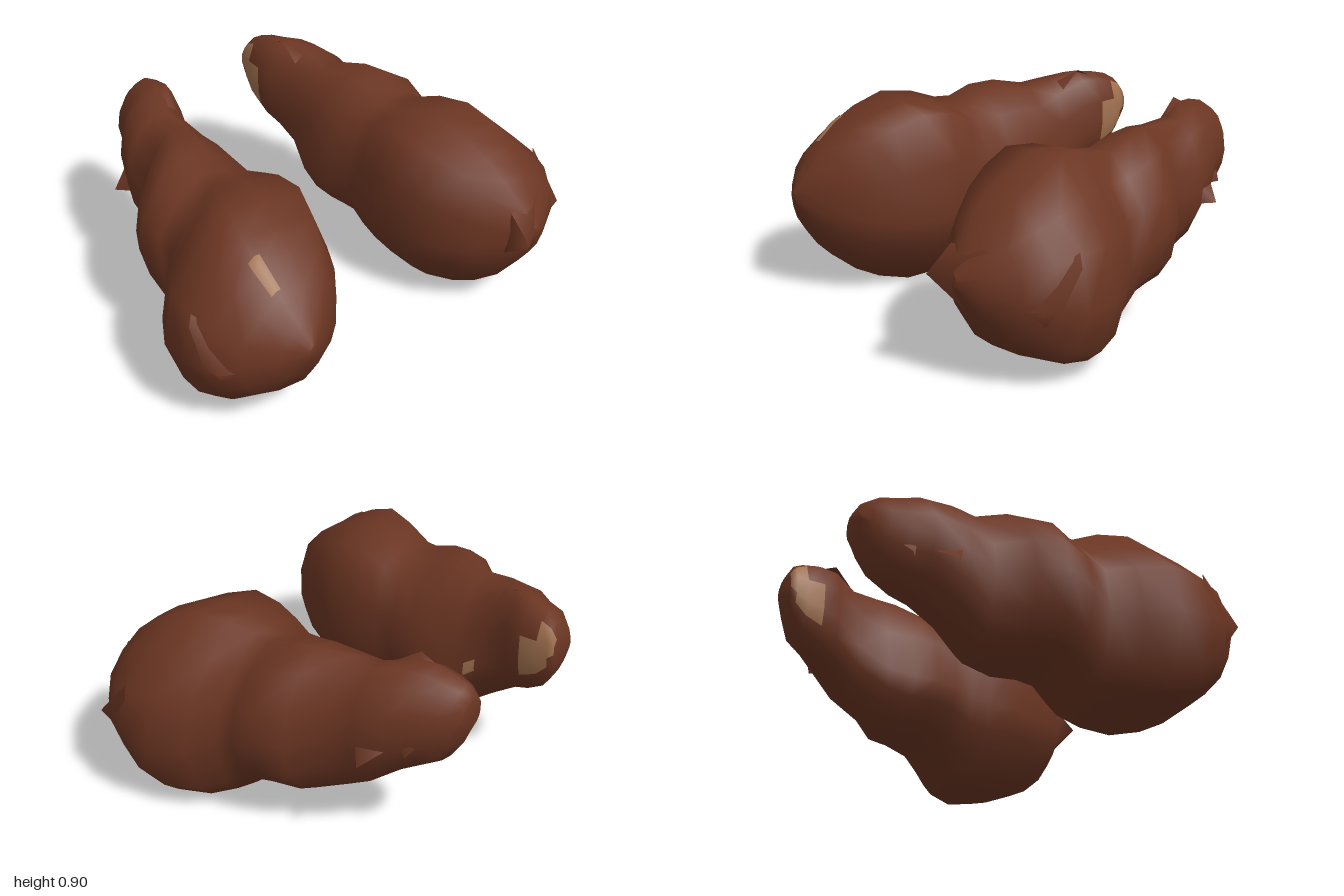
import * as THREE from 'three';

const brown = new THREE.MeshStandardMaterial({ color: 0x6c3623, side: THREE.DoubleSide });
brown.name = 'brown skin';
const tan = new THREE.MeshStandardMaterial({ color: 0xa0714f, side: THREE.DoubleSide });
tan.name = 'tan patch';

// Body sections from tail to nose: z, inner x, outer x, bottom y, top y
const SECTIONS = [
  [-0.87, 0.265, 0.40, 0.64, 0.78],
  [-0.84, 0.26, 0.44, 0.56, 0.83],
  [-0.79, 0.25, 0.50, 0.48, 0.86],
  [-0.71, 0.245, 0.53, 0.43, 0.88],
  [-0.63, 0.255, 0.59, 0.39, 0.89],
  [-0.50, 0.28, 0.64, 0.29, 0.86],
  [-0.37, 0.24, 0.63, 0.20, 0.85],
  [-0.25, 0.21, 0.76, 0.16, 0.87],
  [-0.13, 0.20, 0.82, 0.17, 0.86],
  [-0.02, 0.235, 0.82, 0.15, 0.82],
  [0.07, 0.235, 0.82, 0.05, 0.83],
  [0.17, 0.23, 0.91, 0.01, 0.865],
  [0.31, 0.22, 0.99, 0.00, 0.88],
  [0.45, 0.26, 1.00, 0.035, 0.83],
  [0.56, 0.31, 0.965, 0.09, 0.775],
  [0.67, 0.39, 0.88, 0.18, 0.69],
  [0.76, 0.51, 0.74, 0.31, 0.58],
  [0.81, 0.60, 0.64, 0.43, 0.50],
];

// Cross-section outlines in a unit box, from the outer side over the top
const BELLY = [[1, -0.18], [0.87, 0.36], [0.5, 0.69], [0.13, 1], [-0.33, 0.96], [-0.8, 0.9], [-1, 0.4],
  [-1, -0.18], [-0.9, -0.45], [-0.62, -0.78], [-0.36, -1], [0.2, -0.93], [0.59, -0.86], [0.8, -0.7]];
const MIDDLE = [[1, -0.05], [0.9, 0.38], [0.6, 0.78], [0.18, 1], [-0.22, 0.94], [-0.62, 0.7], [-0.88, 0.25],
  [-1, -0.35], [-0.88, -0.6], [-0.62, -0.82], [-0.32, -1], [0.2, -0.96], [0.6, -0.8], [0.87, -0.5]];
const ENDS = [[1, -0.05], [0.9, 0.35], [0.6, 0.7], [0.15, 0.9], [-0.35, 1], [-0.75, 0.85], [-1, 0.4],
  [-1, -0.15], [-0.9, -0.5], [-0.65, -0.8], [-0.3, -1], [0.2, -0.95], [0.65, -0.75], [0.9, -0.4]];
// Which outline applies at which depth
const STOPS = [[-0.87, ENDS], [-0.65, ENDS], [-0.4, MIDDLE], [-0.13, MIDDLE], [0.1, BELLY], [0.4, BELLY], [0.81, ENDS]];
const N = BELLY.length;
const mix = THREE.MathUtils.lerp;

// Neighbouring rows of a table at depth z, and the fraction between them
function bracket(table, z) {
  let i = 0;
  while (i < table.length - 2 && table[i + 1][0] < z) i++;
  const p = table[i], q = table[i + 1];
  return [p, q, (z - p[0]) / (q[0] - p[0])];
}

// Point on the skin at depth z and outline position t (in outline steps)
function skin(z, t, scale = 1) {
  const [p, q, f] = bracket(SECTIONS, z);
  const [, x0, x1, y0, y1] = p.map((n, k) => mix(n, q[k], f));
  const [a, b, w] = bracket(STOPS, z);
  const j = Math.floor(t);
  const [u, v] = [0, 1].map((k) => {
    const at = (n) => mix(a[1][n % N][k], b[1][n % N][k], w);
    return mix(at(j), at(j + 1), t - j) * scale;
  });
  return [(x0 + x1) / 2 + u * (x1 - x0) / 2, (y0 + y1) / 2 + v * (y1 - y0) / 2, z];
}

function build(points, index, side) {
  const g = new THREE.BufferGeometry();
  const pos = points.flatMap(([x, y, z]) => [x * side, y, z]);
  g.setAttribute('position', new THREE.Float32BufferAttribute(pos, 3));
  if (side < 0) for (let i = 0; i < index.length; i += 3) [index[i], index[i + 1]] = [index[i + 1], index[i]];
  g.setIndex(index);
  g.computeVertexNormals();
  return g;
}

function named(name, geometry, material) {
  const m = new THREE.Mesh(geometry, material);
  m.name = name;
  return m;
}

// Closed lumpy body, with a pale crescent on the inner tail
const CRESCENT = [[5, 6], [5, 6, 7], [6, 7]];
function bodyGeometry(side) {
  const points = [], skinFaces = [], paleFaces = [];
  for (const [z] of SECTIONS) {
    for (let j = 0; j < N; j++) points.push(skin(z, j));
  }
  for (let i = 0; i < SECTIONS.length - 1; i++) {
    for (let j = 0; j < N; j++) {
      const a = i * N + j, b = i * N + (j + 1) % N;
      const faces = CRESCENT[i]?.includes(j) ? paleFaces : skinFaces;
      faces.push(a, b, a + N, b, b + N, a + N);
    }
  }
  // End caps
  const last = (SECTIONS.length - 1) * N;
  for (let j = 1; j < N - 1; j++) skinFaces.push(0, j + 1, j, last, last + j, last + j + 1);
  const g = build(points, [...skinFaces, ...paleFaces], side);
  g.addGroup(0, skinFaces.length, 0);
  g.addGroup(skinFaces.length, paleFaces.length, 1);
  return g;
}

// Small painted patch lying on the skin, as a grid of depths and outline positions
function patch(zs, ts, side) {
  const points = [], index = [], n = ts.length;
  for (const z of zs) for (const t of ts) points.push(skin(z, t, 1.02));
  for (let i = 0; i < zs.length - 1; i++) {
    for (let j = 0; j < n - 1; j++) {
      const a = i * n + j;
      index.push(a, a + 1, a + n, a + 1, a + n + 1, a + n);
    }
  }
  return build(points, index, side);
}

// Pointed flap: a tip joined to a strip of base points
function flap(tip, base, side) {
  const index = [];
  for (let i = 1; i < base.length; i++) index.push(0, i, i + 1);
  return build([tip, ...base], index, side);
}

function createPod(side) {
  const pod = new THREE.Group();
  pod.name = side > 0 ? 'leftPod' : 'rightPod';
  pod.add(named('body', bodyGeometry(side), [brown, tan]));
  // Folded cheek flap on the outer front
  pod.add(named('cheekFlap', flap([0.95, 0.4, 0.64],
    [[0.7, 0.3, 0.68], [0.89, 0.27, 0.57], [0.985, 0.38, 0.45], [0.95, 0.6, 0.46], [0.7, 0.34, 0.69]], side), brown));
  // Spiky folds on the outer tail
  pod.add(named('tailSpikeFront', flap([0.67, 0.5, -0.57],
    [[0.56, 0.56, -0.64], [0.6, 0.6, -0.5], [0.58, 0.48, -0.52]], side), brown));
  pod.add(named('tailSpikeRear', flap([0.545, 0.54, -0.71],
    [[0.47, 0.62, -0.76], [0.52, 0.62, -0.66], [0.49, 0.52, -0.66]], side), brown));
  // Low ridge on top of the tail
  pod.add(named('tailRidge', flap([0.33, 0.9, -0.62],
    [[0.32, 0.85, -0.72], [0.42, 0.85, -0.66], [0.4, 0.83, -0.5], [0.34, 0.78, -0.5]], side), brown));
  return pod;
}

export function createModel() {
  const model = new THREE.Group();
  model.name = 'podPair';
  const left = createPod(1), right = createPod(-1);
  // Beaked nose tip on the left pod only
  left.add(named('noseTip', flap([0.52, 0.48, 0.87],
    [[0.52, 0.58, 0.75], [0.5, 0.38, 0.75], [0.66, 0.31, 0.75], [0.86, 0.5, 0.66], [0.7, 0.6, 0.72], [0.52, 0.58, 0.75]], 1), brown));
  // Pale patches on the right pod only
  right.add(named('browPatch', patch([0.52, 0.56, 0.65], [2.78, 3, 3.15], -1), tan));
  right.add(named('innerPatch', patch([-0.47, -0.42], [6.75, 7, 7.2], -1), tan));
  model.add(left, right);
  return model;
}
